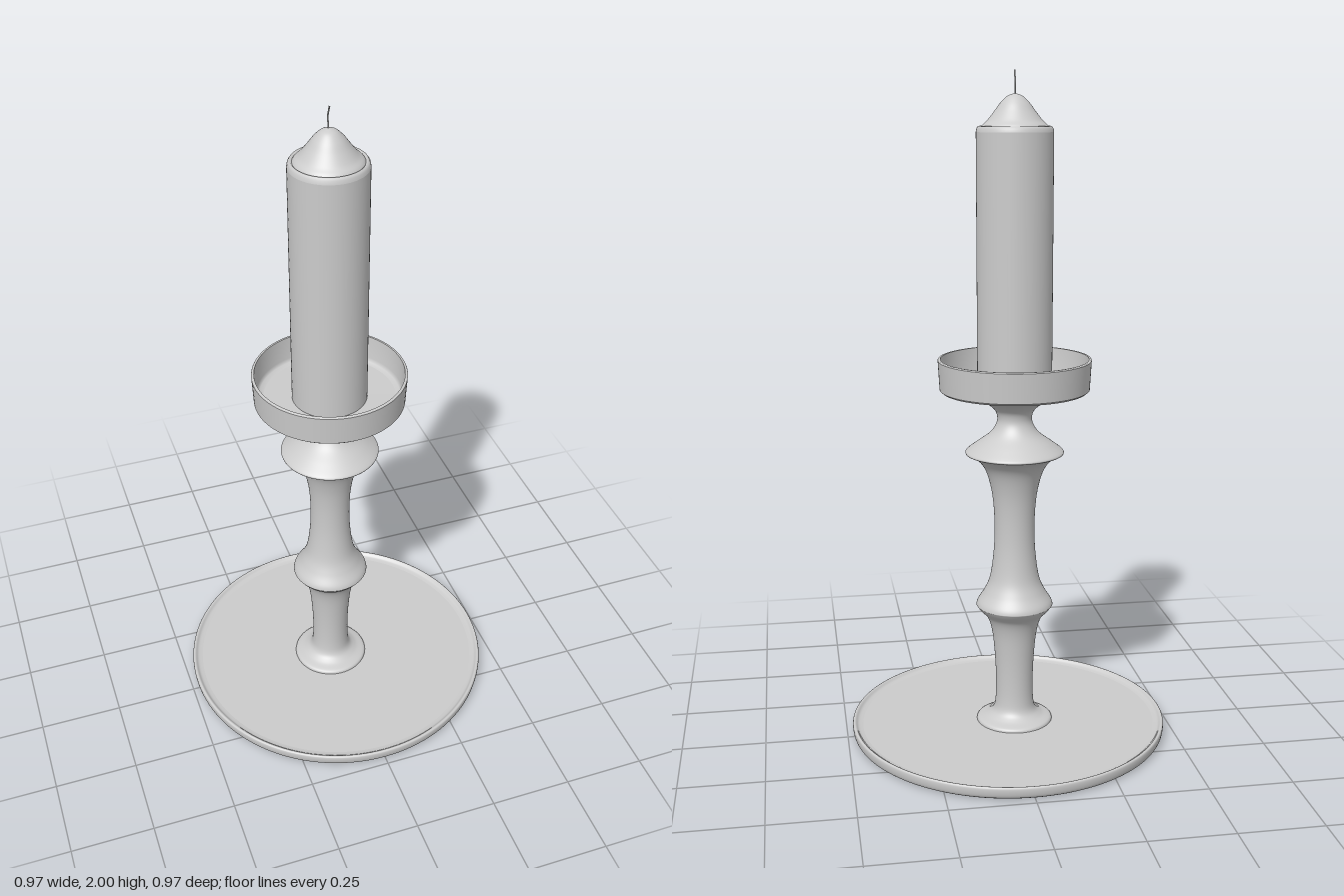
import * as THREE from 'three';

const material = new THREE.MeshStandardMaterial({ color: 0xcccccc });
const AXIS_X = -0.02; // stem and candle stand slightly off the plate's centre

// Turned part: [radius, height] pairs; repeating a point gives a sharp edge
function turned(name, profile, segments = 96) {
  const points = profile.map(([r, y]) => new THREE.Vector2(r, y));
  const mesh = new THREE.Mesh(new THREE.LatheGeometry(points, segments), material);
  mesh.name = name;
  return mesh;
}

// Smooth run through a few profile points
function smooth(points, divisions = 6) {
  const curve = new THREE.SplineCurve(points.map(([r, y]) => new THREE.Vector2(r, y)));
  return curve.getPoints(points.length * divisions).map((p) => [Math.max(p.x, 0), p.y]);
}

export function createModel() {
  const model = new THREE.Group();
  model.name = 'candlestick';

  // Round base plate with a low raised rim
  model.add(turned('basePlate', [
    [0, 0], [0.468, 0], [0.468, 0],
    ...smooth([[0.468, 0], [0.479, 0.008], [0.483, 0.022], [0.483, 0.035], [0.479, 0.039], [0.474, 0.038], [0.466, 0.031], [0.452, 0.028]], 3),
    [0.452, 0.028], [0, 0.028],
  ], 128));

  const upper = new THREE.Group();
  upper.name = 'stemAndCandle';
  upper.position.x = AXIS_X;
  model.add(upper);

  // Stem in three runs that meet at its two ridges
  const foot = smooth([[0.117, 0.026], [0.112, 0.037], [0.085, 0.047], [0.065, 0.065], [0.058, 0.1], [0.057, 0.17], [0.061, 0.25], [0.069, 0.32], [0.083, 0.365], [0.106, 0.391], [0.117, 0.406]]);
  const middle = smooth([[0.117, 0.406], [0.112, 0.42], [0.093, 0.45], [0.076, 0.49], [0.066, 0.55], [0.061, 0.62], [0.062, 0.7], [0.07, 0.77], [0.087, 0.83], [0.112, 0.865], [0.147, 0.884]]);
  const neck = smooth([[0.147, 0.884], [0.145, 0.892], [0.115, 0.915], [0.077, 0.943], [0.057, 0.97], [0.052, 0.995], [0.062, 1.02], [0.095, 1.043], [0.15, 1.06], [0.205, 1.073], [0.218, 1.076]]);
  upper.add(turned('stem', [...foot, ...middle.slice(1), ...neck.slice(1)]));

  // Thin-walled drip dish
  upper.add(turned('dripDish', [
    [0, 1.074], [0.216, 1.074], [0.216, 1.074], [0.223, 1.08], [0.223, 1.08],
    [0.228, 1.168], [0.228, 1.168], [0.226, 1.171], [0.22, 1.171], [0.22, 1.171],
    [0.215, 1.1], [0.208, 1.09], [0.195, 1.087], [0.195, 1.087], [0, 1.084],
  ]));

  // Candle body with rounded shoulder and shallow groove
  upper.add(turned('candle', [
    [0, 1.08], [0.106, 1.08], [0.106, 1.08], [0.111, 1.088], [0.111, 1.088],
    [0.112, 1.828], [0.112, 1.828], [0.11, 1.838], [0.106, 1.844], [0.101, 1.845],
    [0.097, 1.841], [0.097, 1.841], [0, 1.841],
  ], 64));

  // Bell-shaped wax tip
  upper.add(turned('candleTip', smooth([
    [0.1, 1.838], [0.093, 1.848], [0.079, 1.861], [0.06, 1.885], [0.043, 1.908], [0.025, 1.926], [0.01, 1.933], [0, 1.935],
  ]), 64));

  // Curled wick
  const wickPath = new THREE.CatmullRomCurve3([
    [0, 1.925, 0], [0, 1.945, -0.004], [0, 1.965, -0.007], [0, 1.978, -0.002], [0, 1.99, 0.003], [0, 2, 0.008],
  ].map((p) => new THREE.Vector3(...p)));
  const wick = new THREE.Mesh(new THREE.TubeGeometry(wickPath, 32, 0.0022, 8), material);
  wick.name = 'wick';
  upper.add(wick);

  return model;
}
